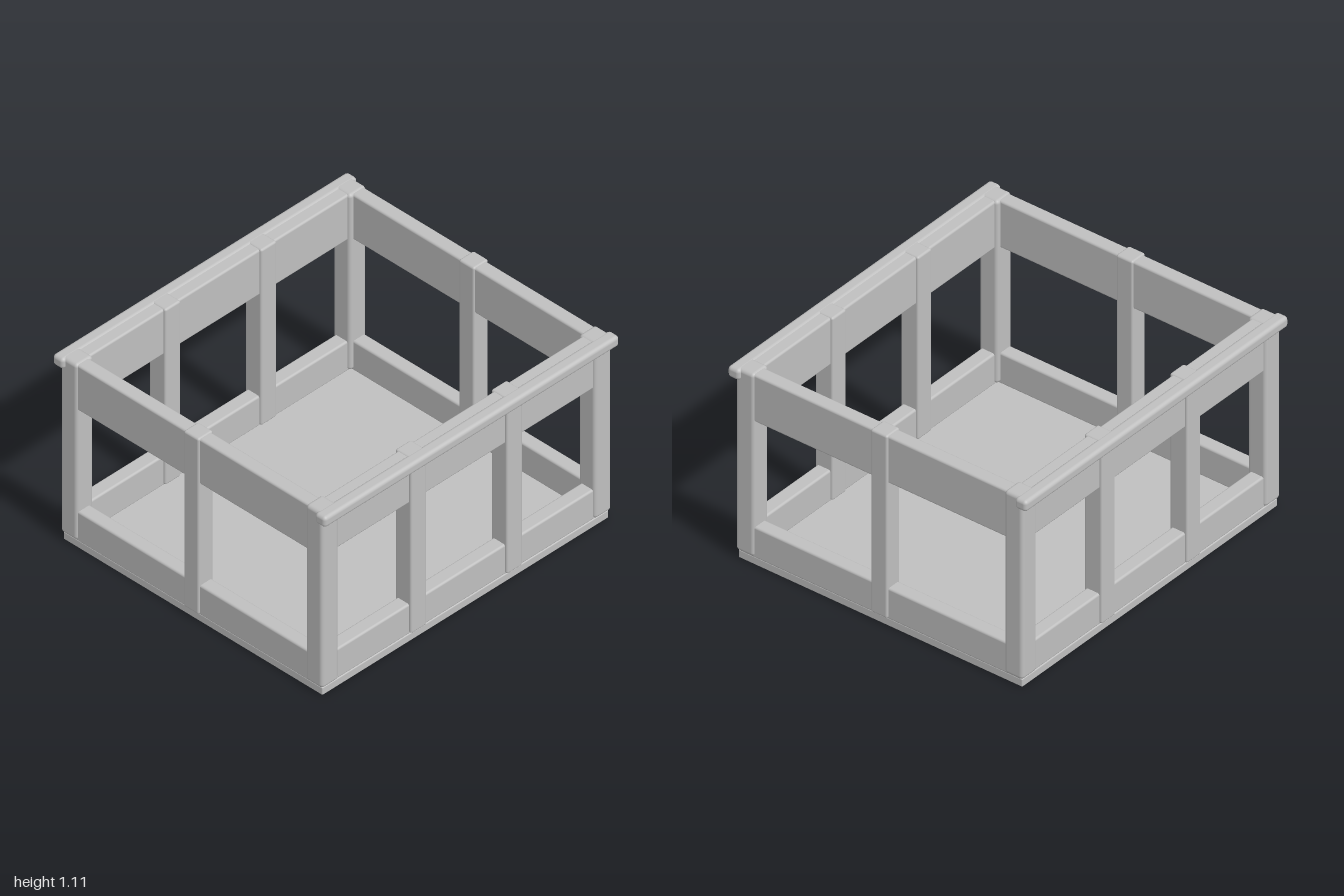
import * as THREE from 'three';
import { RoundedBoxGeometry } from 'three/addons/geometries/RoundedBoxGeometry.js';

export function createModel() {
  const group = new THREE.Group();
  const grey = new THREE.MeshStandardMaterial({ color: 0xbfbfbf });
  grey.name = 'light grey';

  // Soft-edged bar spanning min to max on each axis
  function bar(name, [x0, x1], [y0, y1], [z0, z1], radius = 0.012) {
    const geometry = new RoundedBoxGeometry(x1 - x0, y1 - y0, z1 - z0, 3, radius);
    const mesh = new THREE.Mesh(geometry, grey);
    mesh.name = name;
    mesh.position.set((x0 + x1) / 2, (y0 + y1) / 2, (z0 + z1) / 2);
    group.add(mesh);
  }
  // Range mirrored to the negative side when s is -1
  const side = (s, a, b) => (s > 0 ? [a, b] : [-b, -a]);

  const postY = [0.047, 1.105];
  const boards = [['lowerBoard', [0.04, 0.22]], ['upperBoard', [0.828, 1.1]]];

  // Floor slab
  bar('floor', [-0.97, 0.97], [0, 0.046], [-0.866, 0.866], 0.006);

  for (const s of [1, -1]) {
    // Boards around the four walls
    for (const [name, y] of boards) {
      bar(name + 'Long', [-0.97, 0.97], y, side(s, 0.78, 0.862));
      bar(name + 'Side', side(s, 0.892, 0.972), y, [-0.862, 0.862]);
    }
    // Overhanging handrail on front and back
    bar('handrail', [-1, 1], [1.043, 1.106], side(s, 0.84, 0.912), 0.02);
    // Intermediate posts
    bar('sidePost', side(s, 0.883, 0.983), postY, [-0.051, 0.051]);
    for (const x of [-0.325, 0.325]) {
      bar('longWallPost', [x - 0.053, x + 0.053], postY, side(s, 0.767, 0.876));
    }
    // Corner posts
    for (const t of [1, -1]) {
      bar('cornerPost', side(s, 0.868, 0.982), postY, side(t, 0.763, 0.876), 0.02);
    }
  }
  return group;
}
